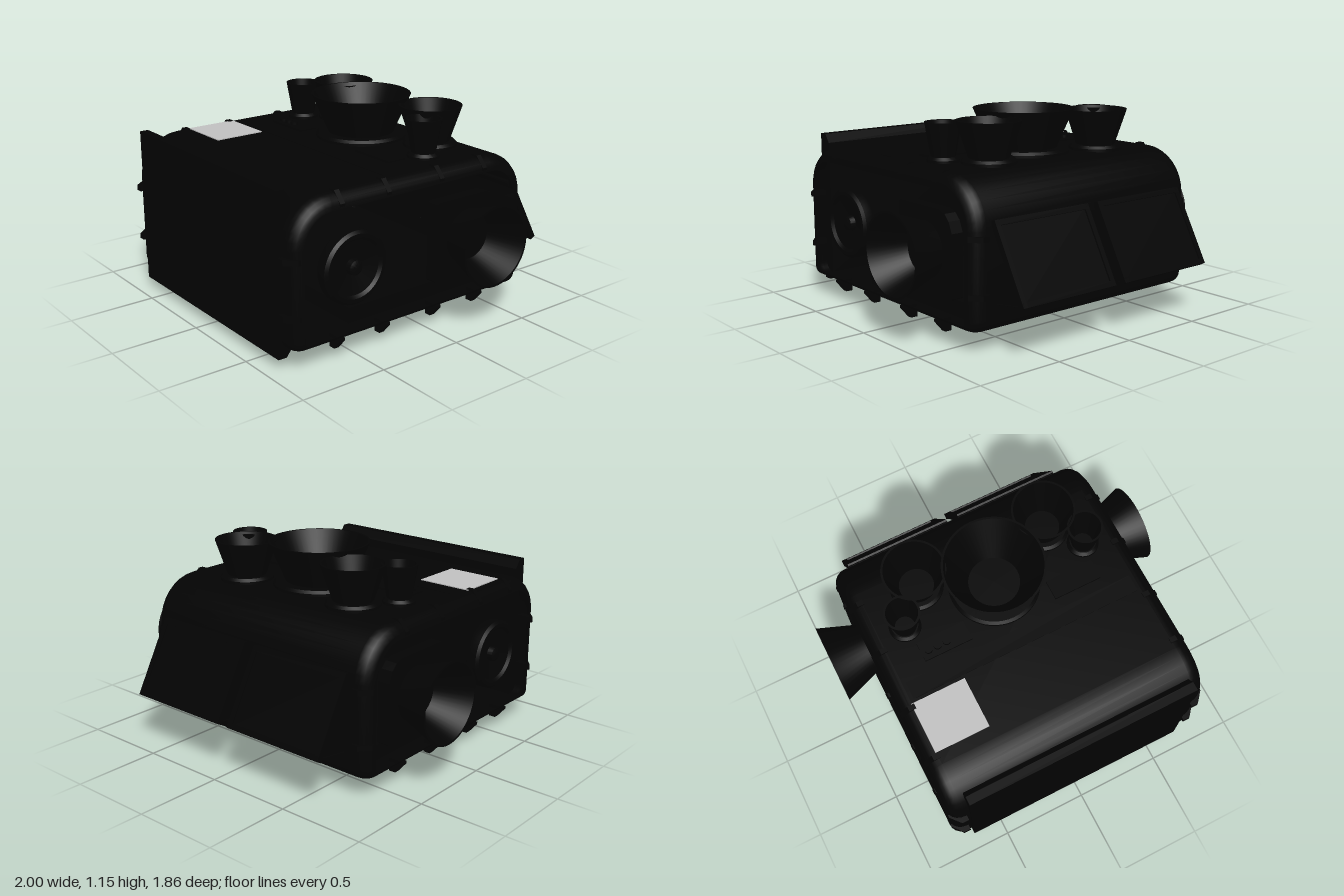
import * as THREE from 'three';
import { toCreasedNormals } from 'three/addons/utils/BufferGeometryUtils.js';

export function createModel() {
  const model = new THREE.Group();
  const dark = new THREE.MeshStandardMaterial({ color: 0x030303, side: THREE.DoubleSide });
  dark.name = 'blackPaint';
  const pale = new THREE.MeshStandardMaterial({ color: 0xc4c4c4, side: THREE.DoubleSide });
  pale.name = 'paleGrey';

  const add = (name, geo, x = 0, y = 0, z = 0, mat = dark) => {
    const m = new THREE.Mesh(geo, mat);
    m.name = name;
    m.position.set(x, y, z);
    model.add(m);
    return m;
  };
  const box = (w, h, d) => new THREE.BoxGeometry(w, h, d);
  const cyl = (r, h, n = 24) => new THREE.CylinderGeometry(r, r, h, n);
  const lathe = (pts, n = 48) =>
    toCreasedNormals(new THREE.LatheGeometry(pts.map(p => new THREE.Vector2(...p)), n), 0.5);
  const poly = pts => new THREE.Shape(pts.map(p => new THREE.Vector2(...p)));
  const slab = (pts, depth) =>
    new THREE.ExtrudeGeometry(poly(pts), { depth, bevelEnabled: false }).translate(0, 0, -depth / 2);

  // Rounded side outline; every ring has the same number of points
  const ring = (zMax, zMin, yMin, yMax, radii) => {
    const corners = [[zMax, yMax, -1, -1, 0], [zMin, yMax, 1, -1, 1], [zMin, yMin, 1, 1, 2], [zMax, yMin, -1, 1, 3]];
    const pts = [];
    corners.forEach(([z, y, sz, sy, q], i) => {
      const r = radii[i];
      for (let k = 0; k <= 8; k++) {
        const a = (q + k / 8) * Math.PI / 2;
        pts.push([z + sz * r + r * Math.cos(a), y + sy * r + r * Math.sin(a)]);
      }
    });
    return pts;
  };

  // Body shell: thin open-sided skin whose side edges curl inward
  const outer = ring(0.9, -0.69, 0.105, 0.9, [0.25, 0.26, 0.07, 0.06]);
  const inner = ring(0.83, -0.61, 0.14, 0.82, [0.16, 0.19, 0.02, 0.02]);
  const pos = [], idx = [], n = outer.length, steps = 5;
  const loops = [];
  for (let i = 0; i <= steps; i++) {
    const a = (1 - i / steps) * Math.PI / 2;
    loops.push([-0.71 - 0.08 * Math.sin(a), 1 - Math.cos(a)]);
  }
  loops.push(...loops.map(([x, t]) => [-x, t]).reverse());
  for (const [x, t] of loops) {
    outer.forEach(([z, y], i) => pos.push(x, y + (inner[i][1] - y) * t, z + (inner[i][0] - z) * t));
  }
  for (let j = 0; j < loops.length - 1; j++) {
    for (let i = 0; i < n; i++) {
      const i2 = (i + 1) % n;
      const a = j * n + i, b = j * n + i2, c = b + n, d = a + n;
      idx.push(a, c, b, a, d, c);
    }
  }
  const shell = new THREE.BufferGeometry();
  shell.setAttribute('position', new THREE.Float32BufferAttribute(pos, 3));
  shell.setIndex(idx);
  add('bodyShell', toCreasedNormals(shell, 0.6));
  add('floorDeck', box(1.3, 0.09, 1.01), 0, 0.155, -0.055);

  // Tall flanged front panel
  const panel = [[0.92, 0.055], [0.92, 0.95], [0.87, 0.95], [0.835, 0.9], [0.835, 0.1], [0.87, 0.055]];
  add('frontPanel', slab(panel, 1.36).rotateY(-Math.PI / 2));

  // Roof funnels: base flange, flared wall and closed throat
  const funnel = (name, x, z, base, low, mouth, throat, top) => add(name, lathe([
    [0, 0.79], [base - 0.022, 0.79], [base - 0.022, 0.86], [base, 0.86], [base, 0.915], [base - 0.015, 0.93],
    [low, 0.93], [mouth, top], [mouth - 0.012, top], [throat, 0.91], [0, 0.91],
  ]), x, 0, z);
  funnel('centreFunnel', 0, -0.147, 0.26, 0.19, 0.285, 0.145, 1.15);
  for (const s of [-1, 1]) {
    funnel('rearFunnel', s * 0.395, -0.325, 0.152, 0.112, 0.178, 0.098, 1.13);
    funnel('smallFunnel', s * 0.555, -0.135, 0.09, 0.068, 0.1, 0.055, 1.115);
  }

  // Roof fittings
  add('roofStrip', box(1.38, 0.01, 0.1), 0, 0.898, 0.21);
  add('roofLabel', box(0.32, 0.006, 0.3), -0.555, 0.902, 0.43, pale);
  for (const s of [-1, 1]) add('controlPlate', box(0.285, 0.02, 0.115), s * 0.4, 0.901, 0.042);
  for (let i = 0; i < 3; i++) add('controlKnob', cyl(0.022, 0.02, 16), -0.5 + i * 0.055, 0.917, 0.05);

  // Clip that wraps a side seam; its outer face lies at the given height
  const clip = (s, face, dir) => slab([[s * 0.7, face], [s * 0.74, face], [s * 0.792, face - dir * 0.06],
    [s * 0.792, face - dir * 0.075], [s * 0.7, face - dir * 0.075]], 0.03);

  for (const s of [-1, 1]) {
    // Side horn on its rounded mounting plate
    const mount = [[-0.04, 0.26], [-0.05, 0.25], [-0.49, 0.25], [-0.5, 0.26], [-0.5, 0.6], [-0.475, 0.66],
      [-0.44, 0.695], [-0.39, 0.71], [-0.05, 0.71], [-0.04, 0.7]];
    add('hornMount', slab(mount, 0.07).rotateY(-Math.PI / 2), s * 0.745, 0, 0);
    const horn = lathe([[0, 0.72], [0.15, 0.72], [0.155, 0.79], [0.23, 1], [0.218, 1], [0.13, 0.8], [0, 0.8]]);
    add('sideHorn', horn.rotateZ(-s * Math.PI / 2), 0, 0.48, -0.27);

    // Round side speaker with raised hub
    const speaker = lathe([[0, 0.7], [0.19, 0.7], [0.2, 0.72], [0.2, 0.77], [0.185, 0.785], [0.165, 0.785],
      [0.15, 0.77], [0.045, 0.745], [0.04, 0.775], [0.02, 0.785], [0, 0.785]]);
    add('sideSpeaker', speaker.rotateZ(-s * Math.PI / 2), 0, 0.48, 0.5);

    // Clips around the side seams
    for (const z of [0.6, 0.3, -0.06, -0.37]) {
      add('bottomClip', clip(s, 0.05, -1), 0, 0, z);
      add('roofClip', clip(s, 0.908, 1), 0, 0, z);
    }
    for (const y of [0.3, 0.6]) {
      add('frontClip', clip(s, 0.928, 1).rotateX(Math.PI / 2), 0, y, 0);
      add('backClip', clip(s, -0.703, -1).rotateX(Math.PI / 2), 0, y, 0);
    }

    // Tilted rear flap with raised frame and thin stays
    const flap = new THREE.Group();
    flap.name = 'rearFlap';
    flap.position.set(s * 0.355, 0.482, -0.803);
    flap.rotation.x = 0.503;
    const part = (name, geo, x, y, z) => {
      const m = new THREE.Mesh(geo, dark);
      m.name = name;
      m.position.set(x, y, z);
      flap.add(m);
    };
    part('flapPanel', box(0.64, 0.46, 0.025), 0, 0, 0);
    for (const t of [-1, 1]) {
      part('flapRail', box(0.64, 0.03, 0.01), 0, t * 0.215, -0.017);
      part('flapRail', box(0.03, 0.46, 0.01), t * 0.305, 0, -0.017);
      const stay = add('flapStay', cyl(0.004, 0.235, 8), s * 0.355 + t * 0.29, 0.267, -0.803);
      stay.rotation.x = Math.PI / 2 + 0.15;
    }
    model.add(flap);
    add('flapHinge', cyl(0.018, 0.64, 16).rotateZ(Math.PI / 2), s * 0.355, 0.672, -0.695);
  }

  // Underside: cap, drain, pipe and small plug with a pale tip
  add('bottomCap', lathe([[0, 0.03], [0.04, 0.03], [0.06, 0.045], [0.085, 0.055], [0.085, 0.11], [0, 0.11]], 32), 0.2, 0, -0.2);
  add('drainBody', lathe([[0, 0], [0.055, 0], [0.07, 0.015], [0.07, 0.04], [0.05, 0.05], [0.05, 0.11], [0, 0.11]], 24), 0.2, 0, 0.71);
  const path = new THREE.CatmullRomCurve3([[0.2, 0.8], [0.1, 0.78], [0.02, 0.7], [0, 0.55], [0, 0.38]]
    .map(([x, z]) => new THREE.Vector3(x, 0.085, z)));
  add('underPipe', new THREE.TubeGeometry(path, 24, 0.02, 10));
  add('drainPlug', cyl(0.024, 0.05, 16).rotateX(Math.PI / 2), 0.1, 0.05, 0.67);
  add('drainPlugTip', new THREE.SphereGeometry(0.02, 16, 12), 0.1, 0.05, 0.642, pale);
  return model;
}
